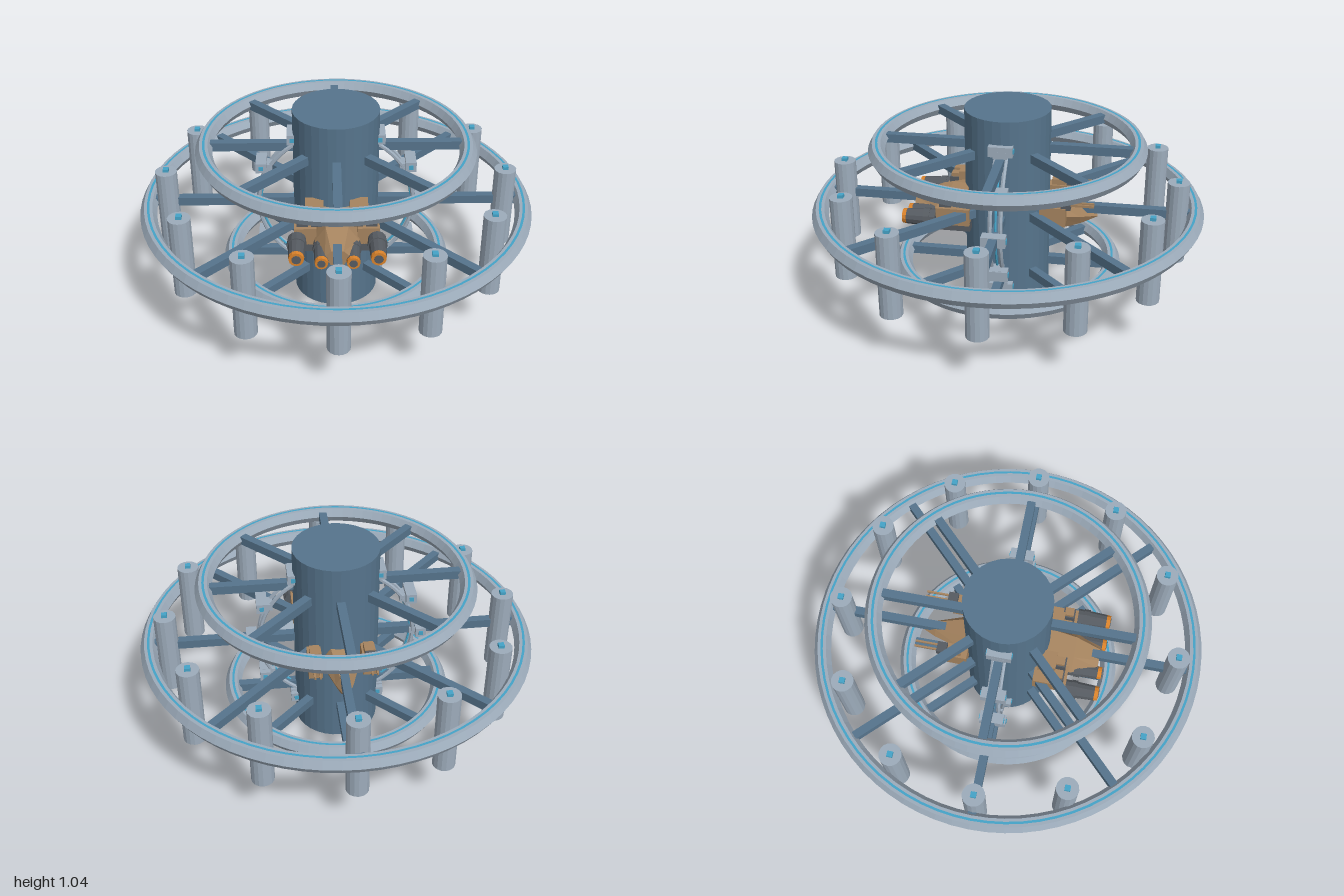
import * as THREE from 'three';

const mat = (name, color) => {
  const m = new THREE.MeshStandardMaterial({ color, flatShading: true });
  m.name = name;
  return m;
};

export function createModel() {
  const steel = mat('steel blue', 0x56748c);
  const grey = mat('pale grey', 0x9dacbb);
  const cyan = mat('cyan light', 0x45a3c7);
  const tan = mat('tan hull', 0xa6845f);
  const dark = mat('dark metal', 0x565b61);
  const orange = mat('engine orange', 0xd9822b);

  const model = new THREE.Group();
  model.name = 'spaceStation';
  const group = (name, parent = model) => {
    const g = new THREE.Group();
    g.name = name;
    parent.add(g);
    return g;
  };
  const add = (parent, name, geo, material, x = 0, y = 0, z = 0) => {
    const m = new THREE.Mesh(geo, material);
    m.name = name;
    m.position.set(x, y, z);
    parent.add(m);
    return m;
  };
  const box = (w, h, d) => new THREE.BoxGeometry(w, h, d);

  // Central hub
  const hubR = 0.217, hubH = 1.045, midY = 0.523;
  add(model, 'hub', new THREE.CylinderGeometry(hubR, hubR, hubH, 32), steel, 0, hubH / 2, 0);

  // Three habitat rings, each with eight spokes and a light strip on top
  const tube = 0.0425;
  const rings = [
    ['lowerRing', 0.547, 0.207],
    ['mainRing', 0.957, midY],
    ['upperRing', 0.658, 0.843],
  ];
  for (const [name, radius, y] of rings) {
    const g = group(name);
    g.position.y = y;
    add(g, 'ringBody', new THREE.TorusGeometry(radius, tube, 6, 72), grey).rotation.x = -Math.PI / 2;
    const strip = new THREE.RingGeometry(radius - 0.006, radius + 0.006, 72);
    add(g, 'lightStrip', strip, cyan, 0, tube * 0.866 + 0.002, 0).rotation.x = -Math.PI / 2;
    const length = radius - 0.18;
    for (let i = 0; i < 8; i++) {
      const arm = group('spokeArm', g);
      arm.rotation.y = (i * Math.PI) / 4;
      add(arm, 'spoke', box(length, 0.045, 0.042), steel, 0.18 + length / 2, 0, 0);
    }
  }

  // Twelve pods on the inside of the main ring
  for (let i = 0; i < 12; i++) {
    const a = (i * Math.PI) / 6;
    const pod = group('pod');
    pod.position.set(0.863 * Math.cos(a), 0, 0.863 * Math.sin(a));
    add(pod, 'podBody', new THREE.CylinderGeometry(0.056, 0.056, 0.43, 16), grey, 0, 0.48, 0);
    add(pod, 'podLight', box(0.028, 0.016, 0.028), cyan, 0, 0.703, 0);
  }

  // Upright gate: twin rails, light rail and clamp blocks
  const gate = group('gate');
  gate.position.y = midY;
  for (const z of [-0.026, 0.026])
    add(gate, 'gateRail', new THREE.TorusGeometry(0.395, 0.011, 6, 64), grey, 0, 0, z);
  add(gate, 'gateLight', new THREE.TorusGeometry(0.384, 0.006, 6, 64), cyan);
  for (let i = 0; i < 12; i++) {
    if (i % 6 === 3) continue; // buried in the hub
    const a = (i * Math.PI) / 6;
    const clamp = group('gateClamp', gate);
    clamp.position.set(0.435 * Math.cos(a), 0.435 * Math.sin(a), 0);
    add(clamp, 'clampBlock', box(0.054, 0.052, 0.12), grey);
    add(clamp, 'clampFoot', box(0.075, 0.035, 0.07), grey, -0.02 * Math.cos(a), -0.02 * Math.sin(a), 0);
    for (const s of [-1, 1]) add(clamp, 'clampLight', box(0.022, 0.022, 0.006), cyan, 0, 0, s * 0.061);
  }

  // Docked ship: nose towards -z, engines towards +z
  const ship = group('ship');
  // Each section: z, half width, bottom, middle, top
  const hull = (sections) => {
    const pos = [], idx = [];
    for (const [z, w, b, m, t] of sections)
      pos.push(w, m, z, w * 0.5, t, z, -w * 0.5, t, z, -w, m, z, -w * 0.55, b, z, w * 0.55, b, z);
    const last = sections.length - 1;
    for (let i = 0; i < last; i++)
      for (let j = 0; j < 6; j++) {
        const a = i * 6 + j, b = i * 6 + ((j + 1) % 6);
        idx.push(a, b, b + 6, a, b + 6, a + 6);
      }
    for (let j = 1; j < 5; j++) {
      idx.push(0, j + 1, j);
      idx.push(last * 6, last * 6 + j, last * 6 + j + 1);
    }
    const g = new THREE.BufferGeometry();
    g.setAttribute('position', new THREE.Float32BufferAttribute(pos, 3));
    g.setIndex(idx);
    g.computeVertexNormals();
    return g;
  };
  add(ship, 'hull', hull([
    [-0.465, 0.006, 0.475, 0.48, 0.485],
    [-0.38, 0.045, 0.44, 0.485, 0.53],
    [-0.21, 0.1, 0.395, 0.5, 0.58],
    [0.2, 0.13, 0.39, 0.5, 0.61],
    [0.35, 0.11, 0.4, 0.5, 0.58],
    [0.48, 0.06, 0.45, 0.5, 0.53],
  ]), tan);

  for (const s of [-1, 1]) {
    // Forward gun mounts
    add(ship, 'gunMount', box(0.07, 0.1, 0.13), tan, s * 0.135, 0.535, -0.25);
    add(ship, 'gunCap', box(0.05, 0.03, 0.07), tan, s * 0.135, 0.6, -0.25);
    add(ship, 'gunBreech', box(0.055, 0.04, 0.05), dark, s * 0.138, 0.595, -0.315);
    for (const dx of [-0.013, 0.013])
      add(ship, 'gunBarrel', box(0.009, 0.012, 0.13), tan, s * 0.138 + dx, 0.6, -0.39);

    // Shoulder panels and hatches
    add(ship, 'shoulder', box(0.11, 0.09, 0.17), tan, s * 0.155, 0.515, 0.25);
    for (const x of [0.1, 0.17]) {
      add(ship, 'hatchFrame', box(0.055, 0.045, 0.06), dark, s * x, 0.585, 0.29);
      add(ship, 'hatch', box(0.042, 0.04, 0.045), tan, s * x, 0.607, 0.29);
    }
    add(ship, 'turret', box(0.09, 0.06, 0.09), tan, s * 0.11, 0.615, 0.225);
    add(ship, 'bellyPlate', box(0.1, 0.05, 0.17), dark, s * 0.14, 0.455, 0.25);

    // Two engines a side: dark nacelle, orange nozzle, dark core
    for (const [x, y, r, z] of [[0.197, 0.5, 0.046, 0.41], [0.077, 0.475, 0.04, 0.41]]) {
      const engine = group('engine', ship);
      engine.position.set(s * x, y, z);
      engine.rotation.x = Math.PI / 2;
      add(engine, 'nacelle', new THREE.CylinderGeometry(r * 0.85, r, 0.15, 12), dark);
      add(engine, 'nacelleBand', new THREE.CylinderGeometry(r * 1.06, r * 1.06, 0.03, 12), dark, 0, -0.03, 0);
      add(engine, 'nozzle', new THREE.CylinderGeometry(r * 0.8, r * 0.85, 0.025, 12), orange, 0, 0.083, 0);
      add(engine, 'nozzleCore', new THREE.CylinderGeometry(r * 0.5, r * 0.5, 0.004, 12), dark, 0, 0.097, 0);
    }
  }
  return model;
}
